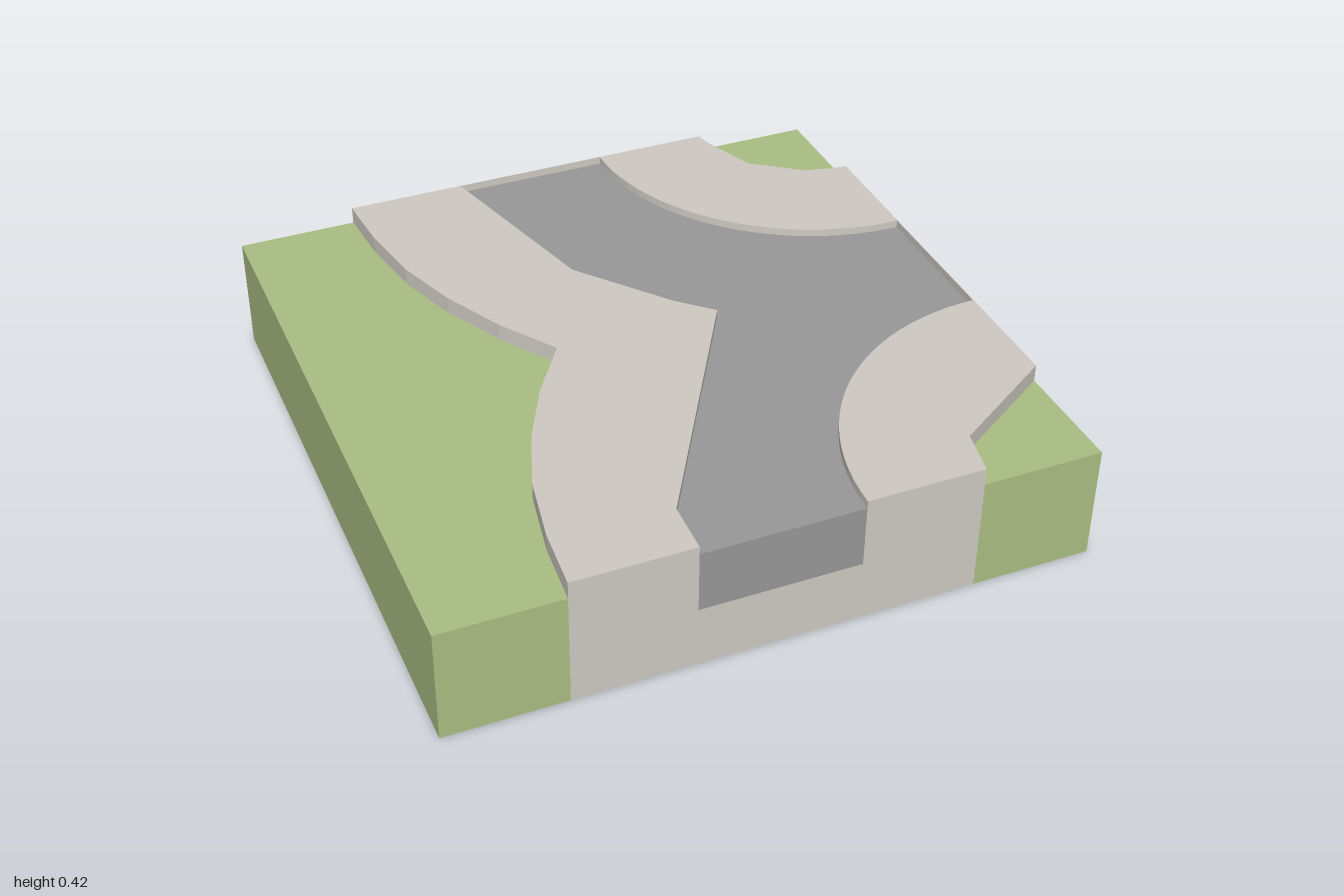
import * as THREE from 'three';

const BASE = 0.001, GRASS_TOP = 0.37, ROAD_TOP = 0.4, KERB_TOP = 0.425, BED = 0.2;
const EDGE = 0.998; // road stops just inside the thin back and right walls

const material = (color) => new THREE.MeshStandardMaterial({ color, flatShading: true });

// Upright slab from a plan outline of [x, z] points
function slab(name, outline, bottom, top, mat) {
  const shape = new THREE.Shape(outline.map(([x, z]) => new THREE.Vector2(x, -z)));
  const geometry = new THREE.ExtrudeGeometry(shape, { depth: top - bottom, bevelEnabled: false });
  geometry.rotateX(-Math.PI / 2).translate(0, bottom, 0);
  const mesh = new THREE.Mesh(geometry, mat);
  mesh.name = name;
  return mesh;
}

// Quarter arc round a right-hand corner, from the x = 1 side to the front or back side
function kerbArc(side) {
  const points = [];
  for (let i = 0; i <= 24; i++) {
    const a = (i / 24) * Math.PI / 2;
    points.push([1 - 0.75 * Math.sin(a), side * (1 - 0.75 * Math.cos(a))]);
  }
  return points;
}

export function createModel() {
  const group = new THREE.Group();
  const grass = material(0xabbf83), paving = material(0xcfcbc3), asphalt = material(0x999999);

  // Plan lines, back to front
  const halfLawn = [[-0.625, -1], [-0.61, -0.8], [-0.57, -0.58], [-0.5, -0.38], [-0.4, -0.18]];
  const lawnEdge = [...halfLawn, [-0.28, 0], ...halfLawn.map(([x, z]) => [x, -z]).reverse()];
  const roadEdge = [[-0.25, -1], [-0.085, -0.38], [0.14, -0.1], [0.245, 0], [-0.245, 0.83], [-0.25, 1]];
  const cornerEdges = {
    back: [[0.62, -1], [0.63, -0.95], [0.7, -0.77], [0.855, -0.655], [0.95, -0.63], [1, -0.625]],
    front: [[0.62, 1], [0.65, 0.85], [1, 0.625]],
  };

  // Lawn and pavement along the left of the plan
  group.add(slab('sideLawn', [[-1, -1], ...lawnEdge, [-1, 1]], BASE, GRASS_TOP, grass));
  group.add(slab('sidePavement', [...lawnEdge, ...[...roadEdge].reverse()], BASE, KERB_TOP, paving));

  // Curved corner pavements with their lawns
  for (const [end, side] of [['back', -1], ['front', 1]]) {
    const edge = cornerEdges[end];
    group.add(slab(end + 'CornerLawn', [...edge, [1, side]], BASE, GRASS_TOP, grass));
    group.add(slab(end + 'CornerPavement', [...edge, ...kerbArc(side)], BASE, KERB_TOP, paving));
  }

  // Sunken road on its paved bed
  const outline = [...roadEdge, ...kerbArc(1).reverse(), ...kerbArc(-1)];
  const inset = outline.map(([x, z]) => [Math.min(x, EDGE), Math.max(z, -EDGE)]);
  group.add(slab('roadBed', outline, BASE, BED, paving));
  group.add(slab('road', inset, BED, ROAD_TOP, asphalt));

  // Thin walls closing the road at the back and right
  const backWall = [[-0.25, -1], [0.25, -1], [0.25, -EDGE], [-0.25, -EDGE]];
  const rightWall = [[1, -0.25], [1, 0.25], [EDGE, 0.25], [EDGE, -0.25]];
  group.add(slab('backWall', backWall, BED, KERB_TOP, paving));
  group.add(slab('rightWall', rightWall, BED, KERB_TOP, paving));

  // Underside
  const underside = new THREE.Mesh(new THREE.PlaneGeometry(2, 2).rotateX(Math.PI / 2), grass);
  underside.name = 'underside';
  group.add(underside);
  return group;
}
